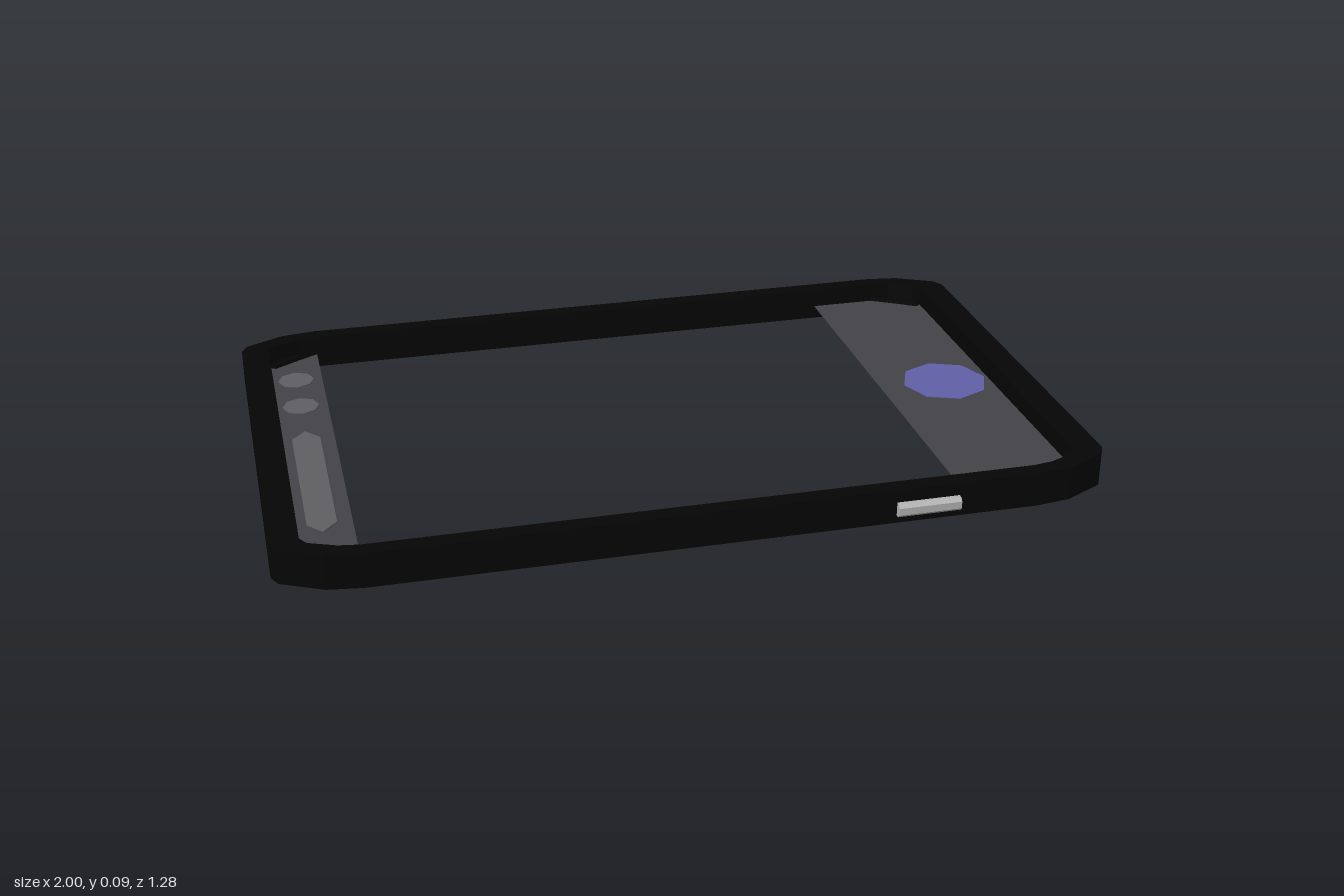
import * as THREE from 'three';

const mat = (color) => new THREE.MeshStandardMaterial({ color });
const black = mat(0x050505), panelGrey = mat(0x434348), iconGrey = mat(0x606062), blue = mat(0x6060a8), metal = mat(0xb4b4b4);

// One rounded corner (+x, +z), from the end towards the long side
const outerCorner = [[1, 0.53], [0.985, 0.56], [0.885, 0.61], [0.8, 0.622]];
const innerCorner = [[0.93, 0.52], [0.915, 0.545], [0.85, 0.572], [0.8, 0.58]];

// Mirror a corner into a closed, counter-clockwise outline
function outline(corner) {
  const back = [...corner].reverse();
  return [
    ...corner,
    ...back.map(([x, z]) => [-x, z]),
    ...corner.map(([x, z]) => [-x, -z]),
    ...back.map(([x, z]) => [x, -z]),
  ].reverse();
}

const vectors = (points) => points.map(([x, z]) => new THREE.Vector2(x, -z));

// Flat slab from an [x, z] outline between two heights
function slab(name, points, y0, y1, material, hole) {
  const shape = new THREE.Shape(vectors(points));
  if (hole) shape.holes.push(new THREE.Path(vectors(hole)));
  const geometry = new THREE.ExtrudeGeometry(shape, { depth: y1 - y0, bevelEnabled: false });
  geometry.rotateX(-Math.PI / 2).translate(0, y0, 0);
  const mesh = new THREE.Mesh(geometry, material);
  mesh.name = name;
  return mesh;
}

// Eight-sided disc that shows on both faces of a panel
function disc(name, x, z, radius, material) {
  const mesh = new THREE.Mesh(new THREE.CylinderGeometry(radius, radius, 0.006, 8), material);
  mesh.position.set(x, 0.035, z);
  mesh.name = name;
  return mesh;
}

// Side button with chamfered outer edges; side is the sign of z
function button(name, x, side) {
  const profile = [[0.6, 0.02], [0.632, 0.02], [0.64, 0.028], [0.64, 0.046], [0.632, 0.054], [0.6, 0.054]];
  const shape = new THREE.Shape(profile.map(([z, y]) => new THREE.Vector2(z, y)));
  const geometry = new THREE.ExtrudeGeometry(shape, { depth: 0.155, bevelEnabled: false });
  geometry.translate(0, 0, -0.0775).rotateY(-side * Math.PI / 2);
  const mesh = new THREE.Mesh(geometry, metal);
  mesh.position.x = x;
  mesh.name = name;
  return mesh;
}

export function createModel() {
  const model = new THREE.Group();
  model.name = 'phone';

  // Hollow case
  model.add(slab('frame', outline(outerCorner), 0, 0.087, black, outline(innerCorner)));

  // Small lips that cut the inside corners above the bars
  const lip = [...innerCorner, [0.86, 0.545], [0.915, 0.51]];
  for (const sx of [1, -1]) {
    for (const sz of [1, -1]) {
      model.add(slab('cornerLip', lip.map(([x, z]) => [sx * x, sz * z]), 0.03, 0.045, black));
    }
  }

  // Screen bars across both ends, leaving the middle open
  const bar = (sign, edge) => [
    [edge, 0.58],
    ...[...innerCorner].reverse().map(([x, z]) => [sign * x, z]),
    ...innerCorner.map(([x, z]) => [sign * x, -z]),
    [edge, -0.58],
  ];
  model.add(slab('contactBar', bar(1, 0.63), 0.034, 0.036, panelGrey));
  model.add(slab('messageBar', bar(-1, -0.799), 0.034, 0.036, panelGrey));

  // Contact picture, round icons and text field
  model.add(disc('contactPicture', 0.808, -0.012, 0.113, blue));
  for (const z of [-0.422, -0.26]) model.add(disc('roundIcon', -0.868, z, 0.047, iconGrey));
  const field = [
    [-0.87, -0.11], [-0.835, -0.07], [-0.835, 0.375], [-0.87, 0.415], [-0.905, 0.375], [-0.905, -0.07],
  ];
  model.add(slab('textField', field, 0.032, 0.038, iconGrey));

  // Side buttons
  model.add(button('volumeUpButton', 0.425, -1), button('volumeDownButton', 0.603, -1));
  model.add(button('powerButton', 0.52, 1));
  return model;
}
